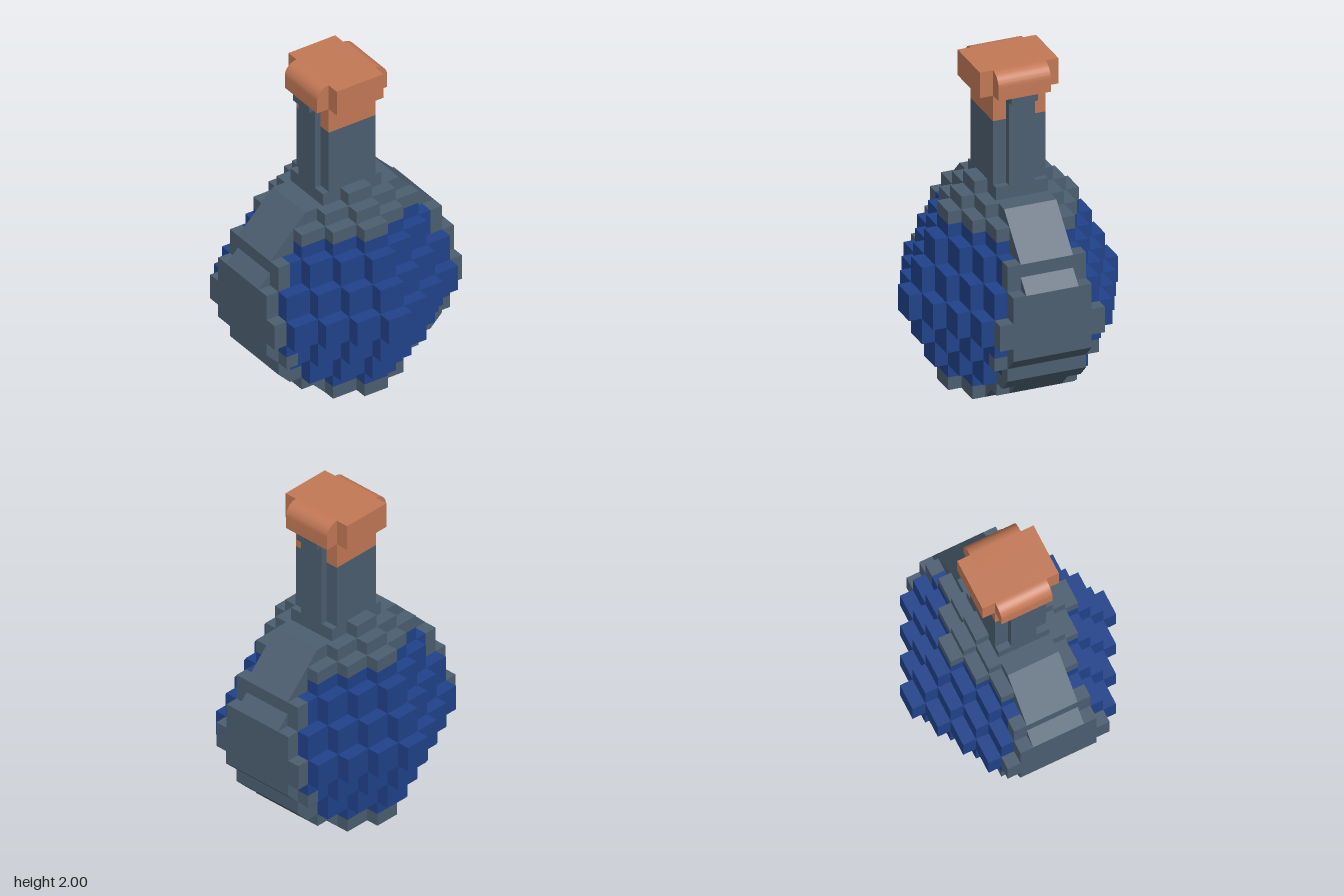
import * as THREE from 'three';
import { mergeGeometries, toCreasedNormals } from 'three/addons/utils/BufferGeometryUtils.js';

const U = 0.08; // half a brick
const glass = new THREE.MeshStandardMaterial({ color: 0x4c5e70 });
const liquid = new THREE.MeshStandardMaterial({ color: 0x20428a });
const cork = new THREE.MeshStandardMaterial({ color: 0xc27856 });

// box from its x range, y range and half depth
function slab(x0, x1, y0, y1, d) {
  return new THREE.BoxGeometry(x1 - x0, y1 - y0, 2 * d)
    .translate((x0 + x1) / 2, (y0 + y1) / 2, 0);
}

// outline extruded to both sides of z = 0
function prism(shape, d) {
  return new THREE.ExtrudeGeometry(shape, { depth: 2 * d, bevelEnabled: false, curveSegments: 8 })
    .translate(0, 0, -d);
}

const polygon = (pts) => new THREE.Shape(pts.map(([x, y]) => new THREE.Vector2(x, y)));

// half width of the liquid at a given height
function liquidWidth(y) {
  if (y < 0.08 || y > 1.04) return 0;
  if (y < 0.16) return 0.24;
  if (y < 0.24) return 0.40;
  if (y < 0.40) return 0.48;
  if (y < 0.80) return 0.56;
  return y < 0.96 ? 0.48 : 0.40;
}

export function createModel() {
  const group = new THREE.Group();
  function add(name, geometry, material) {
    const mesh = new THREE.Mesh(geometry, material);
    mesh.name = name;
    group.add(mesh);
  }

  // stepped bricks: depth shrinks with each row and column from the middle
  const glassBricks = [], liquidBricks = [];
  for (let r = -3; r <= 4; r++) {
    for (let c = -4; c <= 4; c++) {
      const d = 0.64 - U * (Math.abs(r) + Math.abs(c));
      if (d < 0.2) continue;
      const cells = [];
      for (const i of [-0.5, 0.5]) for (const j of [-0.5, 0.5]) {
        const x = 2 * U * c + U * i, y = 0.56 + 2 * U * r + U * j;
        const ax = Math.abs(x);
        // skip what lies past the sides, the shoulder or the lower slopes
        if (ax > 0.64 || y > 1.2 || y < ax - 0.23) continue;
        cells.push({ x, y, wet: ax < liquidWidth(y) });
      }
      if (!cells.length) continue;
      if (cells.length === 4 && cells.every((k) => k.wet === cells[0].wet)) {
        const x = 2 * U * c, y = 0.56 + 2 * U * r;
        (cells[0].wet ? liquidBricks : glassBricks).push(slab(x - U, x + U, y - U, y + U, d));
      } else {
        for (const { x, y, wet } of cells) {
          (wet ? liquidBricks : glassBricks).push(slab(x - U / 2, x + U / 2, y - U / 2, y + U / 2, d));
        }
      }
    }
  }
  add('liquidBricks', mergeGeometries(liquidBricks), liquid);
  add('glassBricks', mergeGeometries(glassBricks), glass);

  // bevelled core that forms the flask's sides
  const side = [[0.24, 0], [0.32, 0.08], [0.40, 0.08], [0.56, 0.24], [0.56, 0.32], [0.64, 0.40],
    [0.64, 0.80], [0.56, 0.88], [0.56, 0.96], [0.32, 1.2]];
  const mirrored = side.map(([x, y]) => [-x, y]).reverse();
  add('bodyCore', prism(polygon([...side, ...mirrored]), 0.16), glass);

  // wider sloped corners along the lower sides
  const corners = [
    [[0.24, 0], [0.32, 0.08], [0.24, 0.08]],
    [[0.32, 0.08], [0.40, 0.08], [0.40, 0.16], [0.48, 0.16], [0.56, 0.24], [0.56, 0.32],
      [0.48, 0.32], [0.48, 0.24], [0.40, 0.24], [0.40, 0.16], [0.32, 0.16]],
    [[0.56, 0.32], [0.64, 0.40], [0.56, 0.40]],
  ];
  // the middle strip is split where its steps touch
  const [low, mid, high] = corners;
  const strips = [low, [mid[0], mid[1], mid[2], mid[10]], mid.slice(2, 9).concat([mid[9]]).slice(0, 7), high];
  for (const s of [-1, 1]) {
    for (const pts of strips) {
      add('lowerCorner', prism(polygon(pts.map(([x, y]) => [s * x, y])), 0.24), glass);
    }
  }

  // neck
  add('neckCollar', slab(-0.2, 0.2, 1.2, 1.28, 0.16), glass);
  add('neckCollarBrick', slab(-0.08, 0.08, 1.2, 1.28, 0.24), glass);
  add('neck', slab(-0.16, 0.16, 1.28, 1.68, 0.16), glass);
  add('neckRibs', slab(-0.2, 0.2, 1.28, 1.84, 0.08), glass);
  add('neckLip', slab(-0.24, 0.24, 1.8, 1.84, 0.08), glass);

  // stopper
  add('stopperPlug', slab(-0.16, 0.16, 1.68, 1.84, 0.16), cork);
  add('stopperCap', slab(-0.16, 0.16, 1.84, 2, 0.24), cork);
  const round = new THREE.Shape();
  round.moveTo(-0.24, 1.84);
  round.lineTo(0.24, 1.84);
  round.absarc(0.16, 1.92, 0.08, 0, Math.PI / 2, false);
  round.absarc(-0.16, 1.92, 0.08, Math.PI / 2, Math.PI, false);
  round.closePath();
  add('stopperRoundedCap', toCreasedNormals(prism(round, 0.16), 0.6), cork);

  return group;
}
